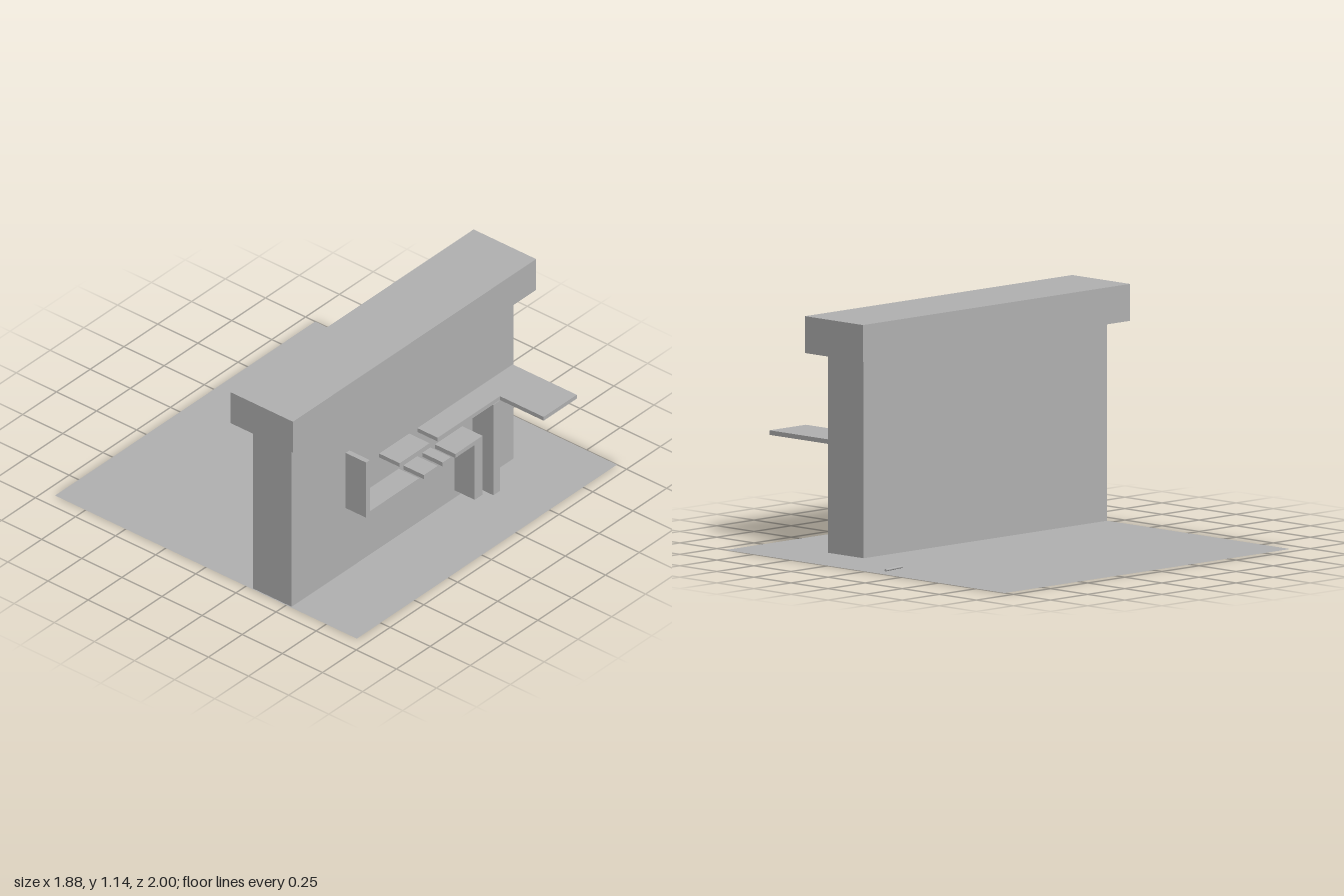
import * as THREE from 'three';

export function createModel() {
  const group = new THREE.Group();
  const grey = new THREE.MeshStandardMaterial({ color: 0xb2b2b2, side: THREE.DoubleSide });
  grey.name = 'plain grey';

  // Box from its lower and upper limits on each axis
  const box = (name, [x0, x1], [y0, y1], [z0, z1]) => {
    const mesh = new THREE.Mesh(new THREE.BoxGeometry(x1 - x0, y1 - y0, z1 - z0), grey);
    mesh.position.set((x0 + x1) / 2, (y0 + y1) / 2, (z0 + z1) / 2);
    mesh.name = name;
    group.add(mesh);
  };

  // Ground sheet
  const ground = new THREE.Mesh(new THREE.PlaneGeometry(1.88, 1.925), grey);
  ground.rotation.x = -Math.PI / 2;
  ground.position.set(0, 0, -0.0375);
  ground.name = 'ground';
  group.add(ground);

  // Wall with overhanging cap
  box('wall', [0.29, 0.53], [0.001, 0.965], [-0.72, 0.92]);
  box('wallCap', [0.215, 0.605], [0.965, 1.143], [-0.8, 1]);

  // Upper shelf row: short shelf, then an L-shaped counter on a post
  const depth = [0.53, 0.657];
  box('upperShelf', depth, [0.525, 0.547], [0.05, 0.272]);
  const outline = [[0.53, -0.01], [0.657, -0.01], [0.657, -0.47], [0.93, -0.47], [0.93, -0.715], [0.53, -0.715]];
  const shape = new THREE.Shape(outline.map(([x, z]) => new THREE.Vector2(x, -z)));
  const counter = new THREE.Mesh(new THREE.ExtrudeGeometry(shape, { depth: 0.022, bevelEnabled: false }), grey);
  counter.rotation.x = -Math.PI / 2;
  counter.position.y = 0.525;
  counter.name = 'counter';
  group.add(counter);
  box('counterPost', [0.53, 0.66], [0.004, 0.525], [-0.467, -0.418]);

  // Lower shelf row: upright end, broken shelf and hanging leg
  box('shelfUpright', depth, [0.362, 0.68], [0.492, 0.52]);
  for (const span of [[0.128, 0.492], [-0.01, 0.093], [-0.107, -0.047], [-0.342, -0.14]]) {
    box('lowerShelf', depth, [0.362, 0.385], span);
  }
  box('shelfLeg', depth, [0.046, 0.362], [-0.342, -0.284]);

  // Small stick lying on the ground
  const stick = new THREE.Mesh(new THREE.CylinderGeometry(0.006, 0.006, 0.133, 12), grey);
  stick.rotation.set(Math.PI / 2, 0, -Math.atan2(0.02, 0.131), 'YXZ');
  stick.position.set(-0.072, 0.009, -0.88);
  stick.name = 'stick';
  group.add(stick);

  return group;
}
